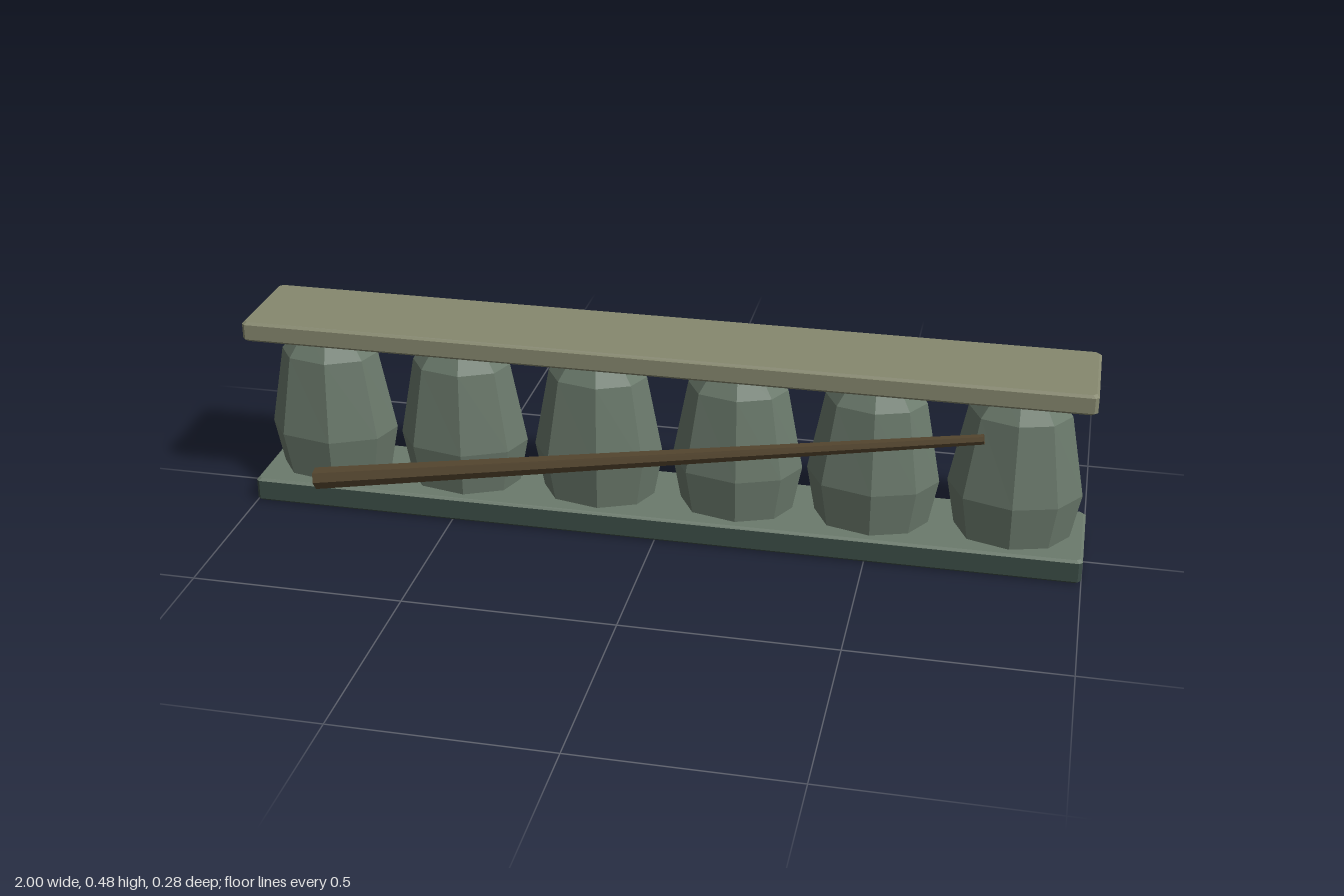
import * as THREE from 'three';

const material = (color) => new THREE.MeshStandardMaterial({ color, flatShading: true, roughness: 0.95 });

// Faceted solid skinned over a stack of closed rings (listed bottom to top), capped at both ends
function loft(rings) {
  const pos = [];
  const tri = (a, b, c) => pos.push(...a, ...b, ...c);
  const n = rings[0].length;
  for (let r = 0; r < rings.length - 1; r++) {
    for (let i = 0; i < n; i++) {
      const j = (i + 1) % n;
      const a = rings[r][i], b = rings[r][j], c = rings[r + 1][j], d = rings[r + 1][i];
      tri(a, c, b);
      tri(a, d, c);
    }
  }
  const bottom = rings[0], top = rings[rings.length - 1];
  for (let i = 1; i < n - 1; i++) {
    tri(bottom[0], bottom[i], bottom[i + 1]);
    tri(top[0], top[i + 1], top[i]);
  }
  const geo = new THREE.BufferGeometry();
  geo.setAttribute('position', new THREE.Float32BufferAttribute(pos, 3));
  geo.computeVertexNormals();
  return geo;
}

// Rectangle with cut corners, shrunk by an inset
function slabRing(y, inset) {
  const x = 1 - inset, z = 0.125 - inset, c = 0.008;
  return [
    [x - c, y, -z], [x, y, -z + c], [x, y, z - c], [x - c, y, z],
    [-x + c, y, z], [-x, y, z - c], [-x, y, -z + c], [-x + c, y, -z],
  ];
}

// Eight-sided bulging post with slightly uneven corners
function balusterGeometry(seed) {
  const wobble = (k) => Math.sin(seed * 12.9 + k * 4.7);
  const turn = wobble(9) * 0.14;
  const profile = [[0.05, 0.134, 0.1], [0.17, 0.157, 0.117], [0.368, 0.119, 0.092], [0.435, 0.066, 0.05]];
  return loft(profile.map(([y, rx, rz]) => Array.from({ length: 8 }, (_, i) => {
    const a = (i / 8) * Math.PI * 2 + turn + wobble(i) * 0.06;
    return [Math.cos(a) * rx, y, Math.sin(a) * rz];
  })));
}

export function createModel() {
  const group = new THREE.Group();
  const zMid = -0.015;
  const add = (name, geo, mat, x = 0, y = 0, z = zMid) => {
    const mesh = new THREE.Mesh(geo, mat);
    mesh.name = name;
    mesh.position.set(x, y, z);
    group.add(mesh);
    return mesh;
  };
  const darkStone = material(0x3c4d46);
  const stone = material(0x6b7a6c);
  const railStone = material(0x86886f);
  const wood = material(0x55462f);

  // Base plinth with a paler weathered top
  add('basePlinth', loft([slabRing(0, 0.006), slabRing(0.006, 0), slabRing(0.054, 0)]), darkStone);
  add('basePlinthTop', loft([slabRing(0.054, 0), slabRing(0.06, 0.006)]), stone);

  // Top rail
  add('topRail', loft([
    slabRing(0.427, 0.006), slabRing(0.433, 0), slabRing(0.47, 0), slabRing(0.476, 0.006),
  ]), railStone);

  // Row of balusters
  [-0.83, -0.498, -0.162, 0.176, 0.5, 0.83].forEach((x, i) => {
    add(`baluster${i + 1}`, balusterGeometry(i + 1), stone, x);
  });

  // Tapered branch leaning across the front
  const from = new THREE.Vector3(-0.84, 0.079, 0.112);
  const to = new THREE.Vector3(0.757, 0.348, 0.111);
  const axis = to.clone().sub(from);
  const mid = from.clone().add(to).multiplyScalar(0.5);
  const branch = add('leaningBranch', new THREE.CylinderGeometry(0.012, 0.027, axis.length(), 7),
    wood, mid.x, mid.y, mid.z);
  branch.quaternion.setFromUnitVectors(new THREE.Vector3(0, 1, 0), axis.normalize());

  return group;
}
